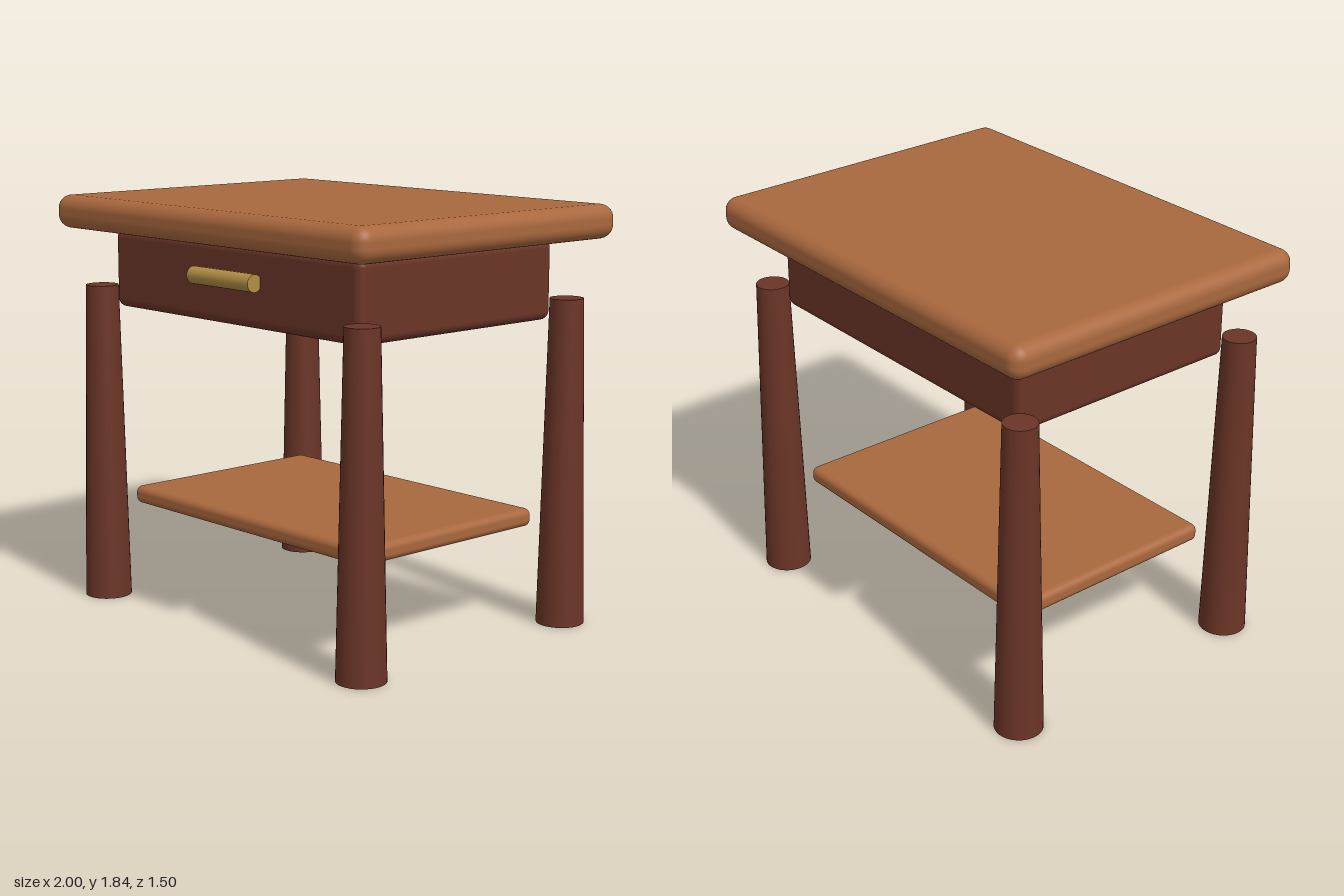
import * as THREE from 'three';
import { RoundedBoxGeometry } from 'three/addons/geometries/RoundedBoxGeometry.js';

export function createModel() {
  const table = new THREE.Group();
  table.name = 'sideTable';

  const lightWood = new THREE.MeshStandardMaterial({ color: 0xa9683e });
  const darkWood = new THREE.MeshStandardMaterial({ color: 0x6b3527 });
  const brass = new THREE.MeshStandardMaterial({ color: 0xb08d45 });

  const add = (name, geometry, material, x, y, z) => {
    const mesh = new THREE.Mesh(geometry, material);
    mesh.name = name;
    mesh.position.set(x, y, z);
    table.add(mesh);
    return mesh;
  };

  // Rounded slabs: top, drawer case and lower shelf
  add('tableTop', new RoundedBoxGeometry(2, 0.147, 1.5, 5, 0.06), lightWood, 0, 1.763, 0);
  add('drawerCase', new RoundedBoxGeometry(1.6, 0.35, 1.13, 5, 0.04), darkWood, 0, 1.514, 0);
  add('shelf', new RoundedBoxGeometry(1.52, 0.08, 1.02, 5, 0.03), lightWood, 0, 0.47, 0);

  // Four tapered legs standing at the corners
  const legHeight = 1.435;
  const legGeometry = new THREE.CylinderGeometry(0.073, 0.105, legHeight, 32);
  for (const [side, x] of [['Left', 0.85], ['Right', -0.85]]) {
    for (const [end, z] of [['front', 0.6], ['back', -0.6]]) {
      add(`${end}${side}Leg`, legGeometry, darkWood, x, legHeight / 2, z);
    }
  }

  // Horizontal bar handle on the drawer front
  const handle = add('drawerHandle', new THREE.CylinderGeometry(0.038, 0.038, 0.4, 24), brass, 0, 1.538, 0.594);
  handle.rotation.z = Math.PI / 2;

  return table;
}
